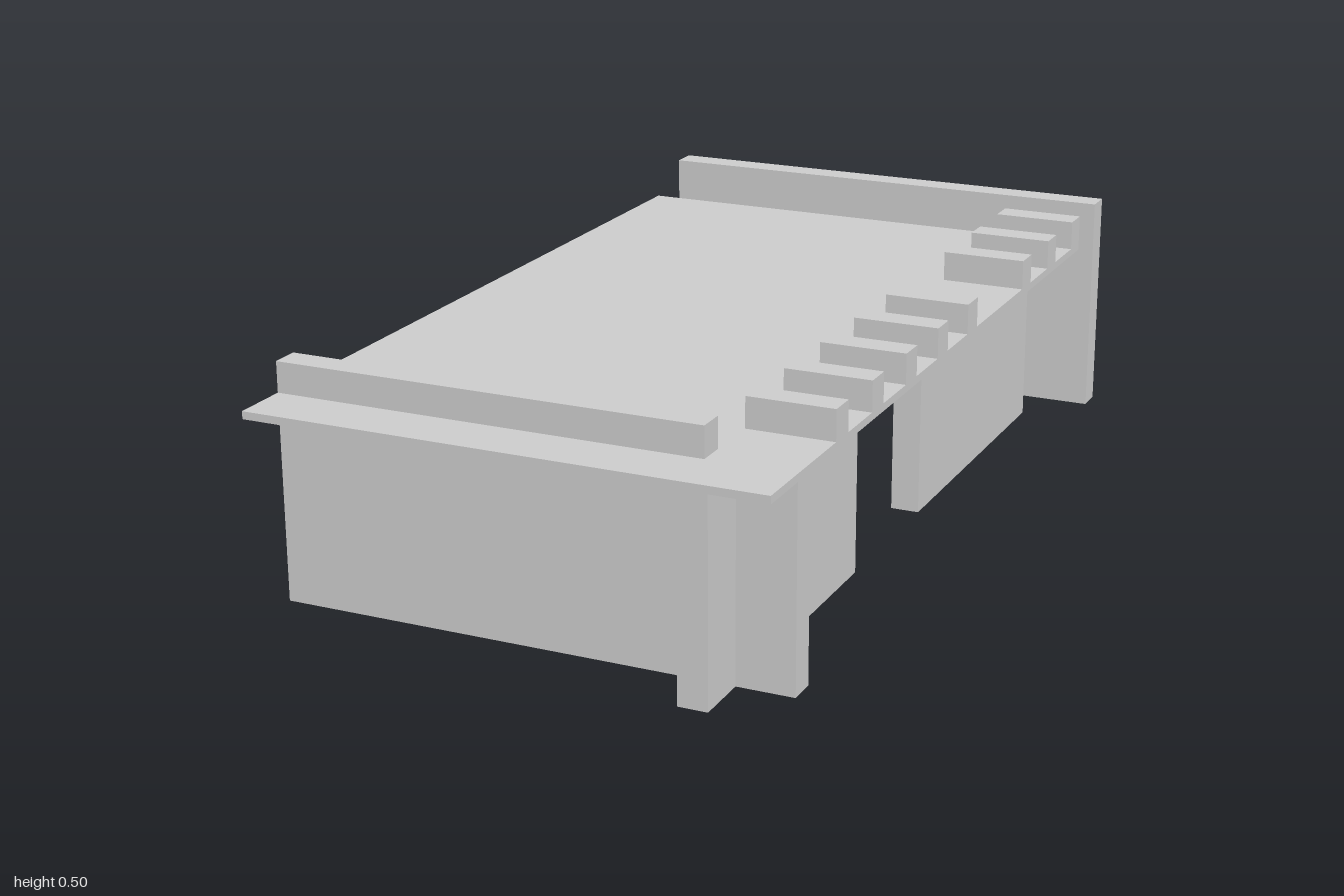
import * as THREE from 'three';

const material = new THREE.MeshStandardMaterial({ color: 0xcccccc, flatShading: true });

// Outline constants shared by the parts
const HALF_W = 0.545, WALL = 0.06, WALL_TOP = 0.42, ROOF_TOP = 0.436, TOP = 0.5;
const BACK = -0.818, BEAM_IN = 0.363;

// Box given by its extents along each axis
function block(name, [x0, x1], [y0, y1], [z0, z1]) {
  const mesh = new THREE.Mesh(new THREE.BoxGeometry(x1 - x0, y1 - y0, z1 - z0), material);
  mesh.position.set((x0 + x1) / 2, (y0 + y1) / 2, (z0 + z1) / 2);
  mesh.name = name;
  return mesh;
}

export function createModel() {
  const model = new THREE.Group();
  model.name = 'flatRoofedBuilding';
  const full = [-HALF_W, HALF_W], wallY = [0, WALL_TOP], raisedY = [ROOF_TOP, TOP];
  const frontZ = [0.819, 0.879], porchX = [BEAM_IN, BEAM_IN + 0.062];

  // Walls: closed side, cross wall at the front, and a side with a doorway
  model.add(
    block('closedSideWall', [-HALF_W, -HALF_W + WALL], wallY, [BACK, frontZ[0]]),
    block('frontWall', full, wallY, frontZ),
    block('doorSideWallFront', porchX, wallY, [0.28, frontZ[0]]),
    block('doorSideWallFin', porchX, wallY, [frontZ[1], 1]),
    block('doorSideWallBack', porchX, wallY, [BACK, -0.09]),
  );

  // Thin roof overhanging the front and the doorway side
  model.add(block('roofSlab', full, [WALL_TOP, ROOF_TOP], [BACK, 1]));
  model.add(block('frontParapet', [-HALF_W, BEAM_IN], raisedY, frontZ));

  // Short beams on the roof edge, with one left out of the even spacing
  const beams = new THREE.Group();
  beams.name = 'roofBeams';
  for (let i = 0; i < 9; i++) {
    if (i === 3) continue;
    const z = BACK + i * 0.182;
    beams.add(block('roofBeam', [BEAM_IN, HALF_W], raisedY, [z, z + WALL]));
  }
  model.add(beams);

  // Free-standing wall behind the building
  model.add(block('detachedBackWall', full, [0, TOP], [-1, -0.94]));
  return model;
}
